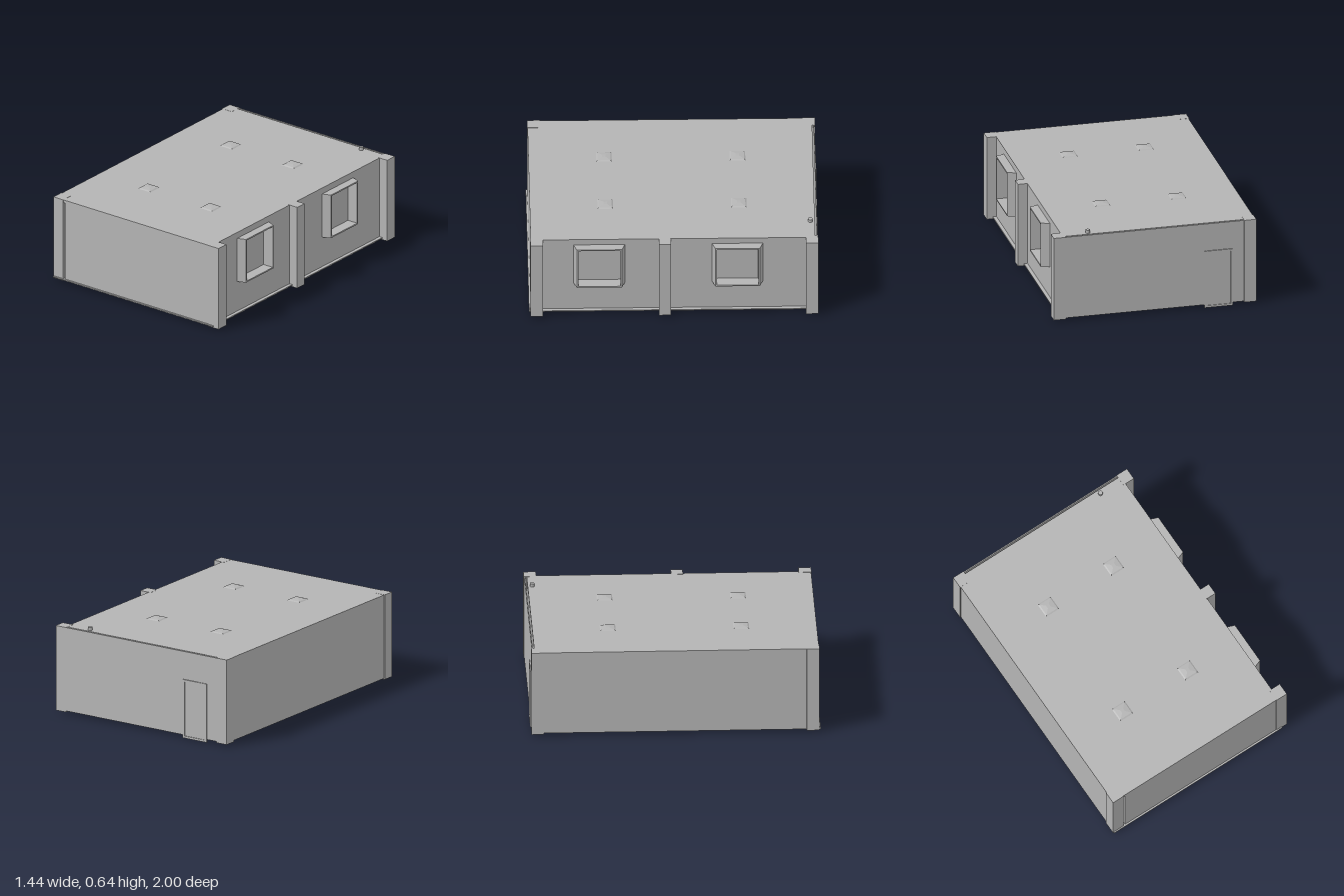
import * as THREE from 'three';

const grey = new THREE.MeshStandardMaterial({ color: 0xb4b4b4 });
grey.name = 'concrete grey';

export function createModel() {
  const root = new THREE.Group();
  root.name = 'building';

  const add = (name, geometry, parent = root) => {
    const mesh = new THREE.Mesh(geometry, grey);
    mesh.name = name;
    parent.add(mesh);
    return mesh;
  };
  // Box given by its limits on each axis
  const box = (name, x0, x1, y0, y1, z0, z1, parent) => add(name,
    new THREE.BoxGeometry(x1 - x0, y1 - y0, z1 - z0)
      .translate((x0 + x1) / 2, (y0 + y1) / 2, (z0 + z1) / 2), parent);
  // Floor plan of [x, z] points raised from y0 to y1
  const prism = (name, plan, y0, y1, parent) => {
    const shape = new THREE.Shape(plan.map(([x, z]) => new THREE.Vector2(x, -z)));
    const g = new THREE.ExtrudeGeometry(shape, { depth: y1 - y0, bevelEnabled: false });
    return add(name, g.rotateX(-Math.PI / 2).translate(0, y0, 0), parent);
  };
  const rect = (C, a0, a1, b0, b1) => {
    const s = new C();
    s.moveTo(a0, b0).lineTo(a1, b0).lineTo(a1, b1).lineTo(a0, b1).closePath();
    return s;
  };

  // Shell: floor with a small ledge, roof and walls
  box('floor', -0.715, 0.675, 0.02, 0.028, -0.985, 0.997);
  box('roof', -0.715, 0.65, 0.6, 0.62, -0.975, 0.985);
  box('leftWall', -0.715, -0.69, 0.028, 0.6, -0.975, 0.985);
  box('frontWall', -0.62, 0.64, 0.028, 0.6, 0.965, 0.985);
  box('backWall', -0.635, 0.635, 0.02, 0.62, -0.993, -0.985);

  // Right wall with two openings behind the bay windows
  const bays = [[0.335, 0.69], [-0.615, -0.265]];
  const y0 = 0.25, y1 = 0.575, rim = 0.01, slant = 0.022;
  const wall = rect(THREE.Shape, -0.985, 0.975, 0.028, 0.6);
  for (const [a, b] of bays) {
    wall.holes.push(rect(THREE.Path, -b + slant + rim, -a - slant - rim, y0 + rim, y1 - rim));
  }
  add('rightWall', new THREE.ExtrudeGeometry(wall, { depth: 0.02, bevelEnabled: false })
    .rotateY(Math.PI / 2).translate(0.63, 0, 0));

  // Bay windows: slanted cheeks, sill, head and a deep-set pane
  for (const [a, b] of bays) {
    const bay = new THREE.Group();
    bay.name = 'bayWindow';
    root.add(bay);
    const plan = [[0.65, a], [0.65, b], [0.71, b - slant], [0.71, a + slant]];
    prism('sill', plan, y0, y0 + rim, bay);
    prism('head', plan, y1 - rim, y1, bay);
    const ia = a + slant + rim, ib = b - slant - rim;
    prism('cheek', [[0.65, a], [0.65, ia], [0.71, ia], [0.71, a + slant]], y0 + rim, y1 - rim, bay);
    prism('cheek', [[0.65, b], [0.65, ib], [0.71, ib], [0.71, b - slant]], y0 + rim, y1 - rim, bay);
    box('pane', 0.615, 0.625, y0, y1, a, b, bay);
  }

  // Corner and middle pillars, standing just below the floor
  for (const [x0, x1, z0, z1] of [
    [0.632, 0.718, 0.9, 0.988], [0.632, 0.718, -0.996, -0.91], [0.632, 0.718, 0.02, 0.102],
    [-0.72, -0.635, 0.9, 0.988], [-0.72, -0.635, -0.996, -0.91],
  ]) box('pillar', x0, x1, 0.012, 0.621, z0, z1);

  // Back door with a raised frame
  const frame = rect(THREE.Shape, -0.553, -0.352, 0, 0.42);
  frame.holes.push(rect(THREE.Path, -0.538, -0.367, 0.015, 0.405));
  add('doorFrame', new THREE.ExtrudeGeometry(frame, { depth: 0.013, bevelEnabled: false })
    .translate(0, 0, -1));
  box('door', -0.538, -0.367, 0.015, 0.405, -0.995, -0.988);

  // Stepped pyramid skylights
  const tier = (name, r0, r1, h, y, parent) => add(name,
    new THREE.CylinderGeometry(r1 * Math.SQRT2, r0 * Math.SQRT2, h, 4).toNonIndexed()
      .rotateY(Math.PI / 4).translate(0, y + h / 2, 0), parent).geometry.computeVertexNormals();
  for (const x of [-0.293, 0.246]) for (const z of [-0.455, 0.465]) {
    const skylight = new THREE.Group();
    skylight.name = 'skylight';
    skylight.position.set(x, 0.62, z);
    root.add(skylight);
    tier('skylightCurb', 0.054, 0.045, 0.006, 0, skylight);
    tier('skylightTop', 0.045, 0.012, 0.005, 0.006, skylight);
  }

  // Roof pipe
  add('pipe', new THREE.CylinderGeometry(0.016, 0.016, 0.03, 12).translate(0.465, 0.627, -0.945));

  return root;
}
